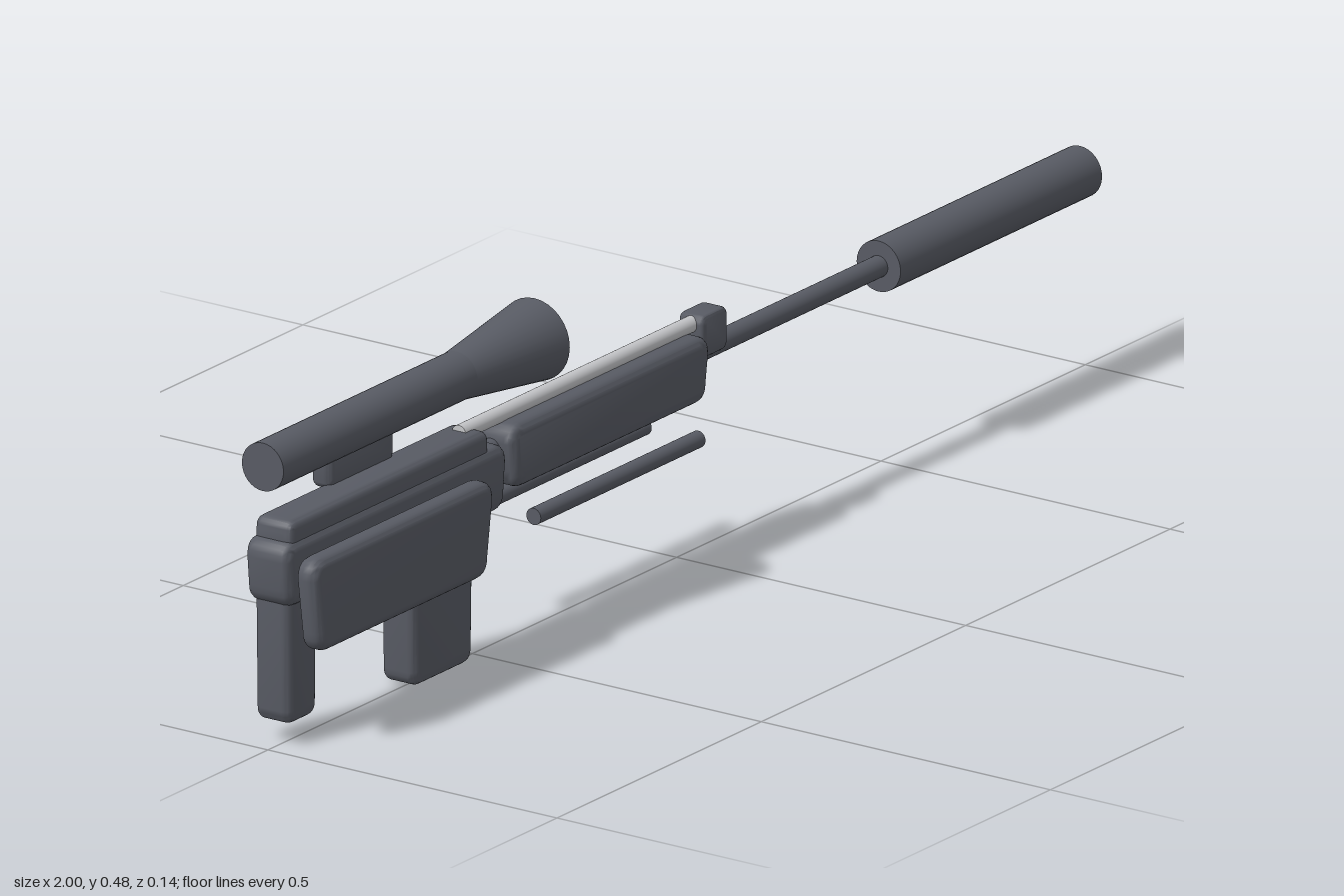
import * as THREE from 'three';
import { toCreasedNormals } from 'three/addons/utils/BufferGeometryUtils.js';

const mat = (name, color) => Object.assign(new THREE.MeshStandardMaterial({ color }), { name });

export function createModel() {
  const gunmetal = mat('gunmetal', 0x585b64);
  const silver = mat('silver', 0xc4c5c8);
  const glass = mat('lens glass', 0x64909f);
  const brass = mat('brass', 0x8a5a2c);

  const model = new THREE.Group();
  model.name = 'rifle';
  const CZ = -0.009; // centre line of the barrel

  const add = (name, geometry, material = gunmetal) => {
    const mesh = new THREE.Mesh(geometry, material);
    mesh.name = name;
    model.add(mesh);
    return mesh;
  };

  // Soft-edged block; corner radius r, rounded bevel b, bottom narrowed by taper
  const block = (name, [x0, x1], [y0, y1], [z0, z1], r, b, taper = 0) => {
    const t = taper;
    const s = new THREE.Shape();
    s.moveTo(x0 + t + r, y0);
    s.lineTo(x1 - t - r, y0);
    s.quadraticCurveTo(x1 - t, y0, x1 - t, y0 + r);
    s.lineTo(x1, y1 - r);
    s.quadraticCurveTo(x1, y1, x1 - r, y1);
    s.lineTo(x0 + r, y1);
    s.quadraticCurveTo(x0, y1, x0, y1 - r);
    s.lineTo(x0 + t, y0 + r);
    s.quadraticCurveTo(x0 + t, y0, x0 + t + r, y0);
    const g = new THREE.ExtrudeGeometry(s, {
      depth: z1 - z0 - 2 * b, curveSegments: 5,
      bevelEnabled: true, bevelSize: b, bevelThickness: b, bevelOffset: -b, bevelSegments: 4,
    });
    g.translate(0, 0, z0 + b);
    return add(name, toCreasedNormals(g, 0.7));
  };

  // Round bar along x, from radius r0 at x0 to r1 at x1
  const bar = (name, x0, x1, r0, y, z, material, r1 = r0) => {
    const g = new THREE.CylinderGeometry(r0, r1, x1 - x0, 32);
    g.rotateZ(Math.PI / 2);
    g.translate((x0 + x1) / 2, y, z);
    return add(name, g, material);
  };

  // Receiver and furniture
  block('receiver', [-0.995, -0.45], [0.213, 0.312], [-0.047, 0.029], 0.028, 0.016, 0.004);
  block('receiverTop', [-0.978, -0.488], [0.285, 0.34], [-0.041, 0.023], 0.018, 0.012);
  block('handguard', [-0.442, 0.047], [0.232, 0.33], [-0.047, 0.029], 0.028, 0.016, 0.006);
  block('sidePanel', [-0.986, -0.542], [0.15, 0.292], [0.035, 0.071], 0.03, 0.014, 0.012);
  block('rearStock', [-0.982, -0.903], [0.035, 0.26], [-0.039, 0.021], 0.02, 0.013, 0.003);
  block('magazine', [-0.675, -0.52], [0.003, 0.26], [-0.038, 0.02], 0.022, 0.012, 0.004);

  // Small brass rounds showing at the front of the magazine
  for (let i = 0; i < 7; i++) {
    const g = new THREE.SphereGeometry(0.003, 8, 6);
    g.translate(-0.522, 0.188 - i * 0.0253, i % 2 ? -0.014 : -0.005);
    add('magazineRound', g, brass);
  }

  // Barrel, suppressor and front clamp
  bar('barrel', -0.55, 0.55, 0.016, 0.291, CZ, gunmetal);
  bar('suppressor', 0.507, 1, 0.038, 0.291, CZ, gunmetal);
  block('frontClamp', [0.045, 0.11], [0.287, 0.352], [-0.031, 0.013], 0.014, 0.009);
  bar('topRod', -0.52, 0.05, 0.012, 0.337, CZ, silver);

  // Folded bipod legs
  for (const side of [-1, 1]) bar('bipodLeg', -0.403, 0, 0.0125, 0.188, CZ + side * 0.0465, gunmetal);

  // Scope with its side mount
  bar('scopeTube', -1, -0.52, 0.036, 0.425, CZ, gunmetal);
  bar('scopeBell', -0.525, -0.335, 0.036, 0.425, CZ, gunmetal, 0.061);
  bar('scopeLens', -0.336, -0.333, 0.0555, 0.425, CZ, glass);
  block('scopeMount', [-0.817, -0.655], [0.332, 0.405], [-0.057, -0.023], 0.016, 0.011);

  return model;
}
